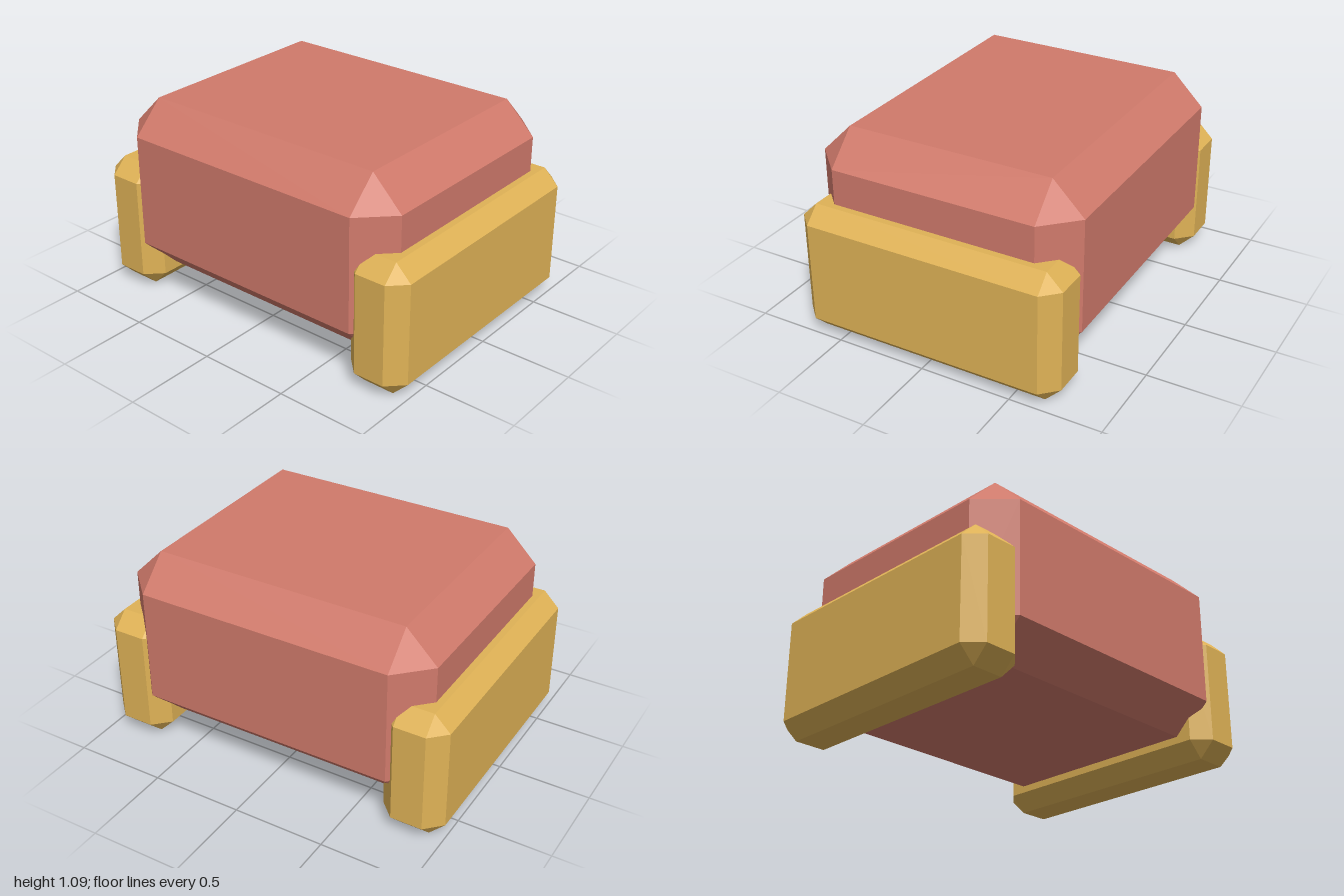
import * as THREE from 'three';
import { ConvexGeometry } from 'three/addons/geometries/ConvexGeometry.js';

// Box with every edge cut at 45 degrees; each corner becomes a triangle
function chamferedBox(width, height, depth, cut) {
  const half = [width / 2, height / 2, depth / 2];
  const points = [];
  for (const sx of [-1, 1]) for (const sy of [-1, 1]) for (const sz of [-1, 1]) {
    for (let axis = 0; axis < 3; axis++) {
      const [x, y, z] = half.map((h, i) => (i === axis ? h : h - cut));
      points.push(new THREE.Vector3(sx * x, sy * y, sz * z));
    }
  }
  return new ConvexGeometry(points);
}

export function createModel() {
  const group = new THREE.Group();
  const red = new THREE.MeshStandardMaterial({ color: 0xd07a6b });
  red.name = 'dusty red';
  const yellow = new THREE.MeshStandardMaterial({ color: 0xdfb256 });
  yellow.name = 'ochre yellow';

  // Main block, raised above the ground
  const body = new THREE.Mesh(chamferedBox(1.48, 0.965, 1.755, 0.171), red);
  body.name = 'body';
  body.position.y = 0.607;
  group.add(body);

  // Matching bumper blocks at front and back
  const bumperGeometry = chamferedBox(1.48, 0.725, 0.345, 0.086);
  for (const [name, side] of [['frontBumper', 1], ['backBumper', -1]]) {
    const bumper = new THREE.Mesh(bumperGeometry, yellow);
    bumper.name = name;
    bumper.position.set(0, 0.3625, side * 0.8275);
    group.add(bumper);
  }
  return group;
}
